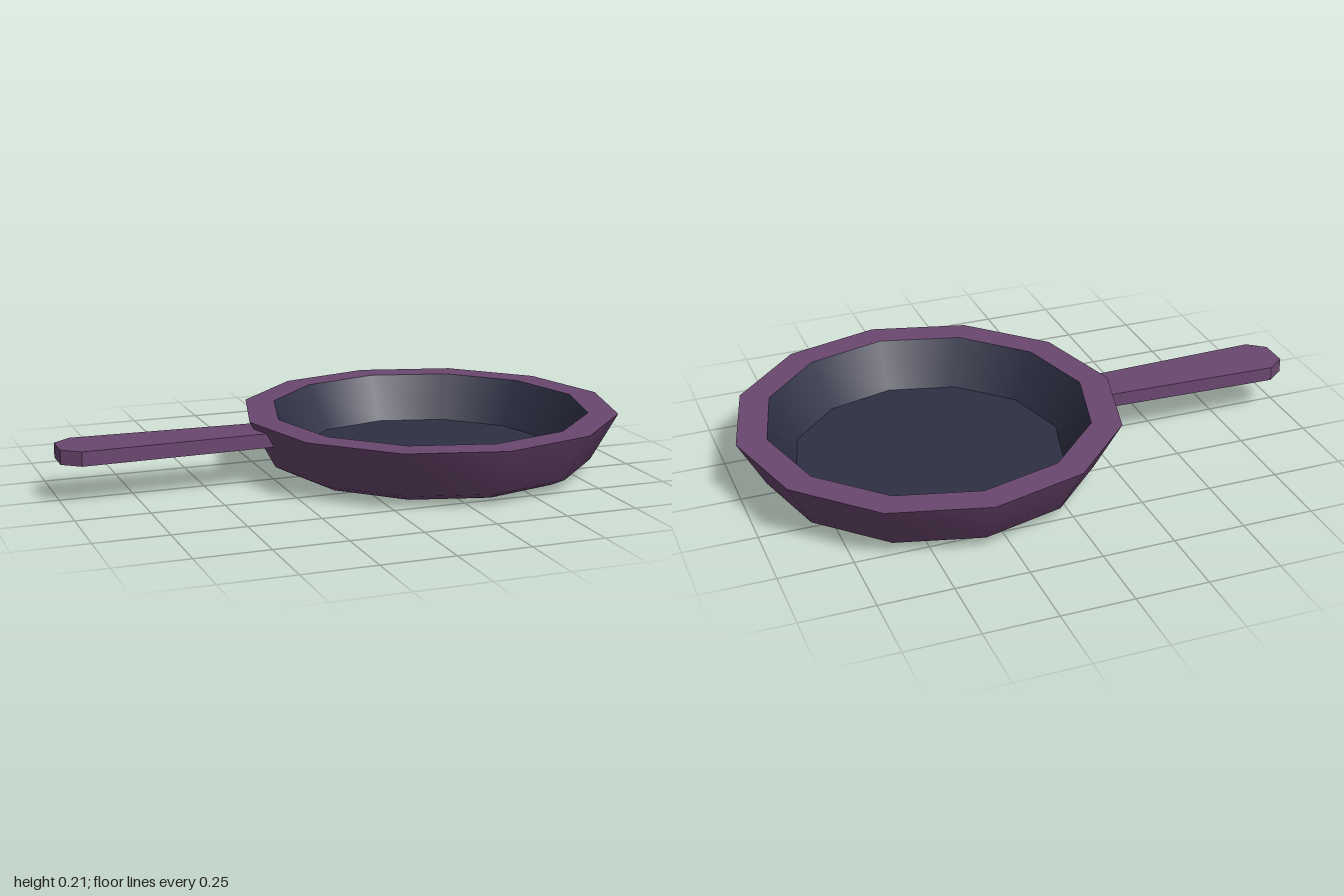
import * as THREE from 'three';

export function createModel() {
  const pan = new THREE.Group();
  pan.name = 'fryingPan';

  const purple = new THREE.MeshStandardMaterial({ color: 0x6b4770 });
  purple.name = 'purple enamel';
  const navy = new THREE.MeshStandardMaterial({ color: 0x2e3044 });
  navy.name = 'dark coating';

  // Twelve-sided bowl, one lathe per smooth surface so the rim and floor edges stay sharp
  const bowl = new THREE.Group();
  bowl.name = 'bowl';
  bowl.position.x = 0.333;
  pan.add(bowl);

  const ring = (name, material, profile) => {
    const points = profile.map(([r, y]) => new THREE.Vector2(r, y));
    const mesh = new THREE.Mesh(new THREE.LatheGeometry(points, 12), material);
    mesh.name = name;
    bowl.add(mesh);
  };
  ring('outerShell', purple, [[0, 0], [0.15, 0.001], [0.38, 0.006], [0.525, 0.017], [0.575, 0.042], [0.667, 0.21]]);
  ring('rim', purple, [[0.667, 0.21], [0.562, 0.21]]);
  ring('innerWall', navy, [[0.562, 0.21], [0.472, 0.05]]);
  ring('cookingFloor', navy, [[0.472, 0.05], [0, 0.05]]);

  // Flat handle, flared towards a chamfered tip and sunk into the bowl wall
  const outline = new THREE.Shape([
    [-1, -0.052], [-0.938, -0.1], [-0.25, -0.078],
    [-0.25, 0.078], [-0.938, 0.1], [-1, 0.052],
  ].map(([x, y]) => new THREE.Vector2(x, y)));
  const handleGeometry = new THREE.ExtrudeGeometry(outline, { depth: 0.05, bevelEnabled: false });
  handleGeometry.rotateX(-Math.PI / 2);
  const handle = new THREE.Mesh(handleGeometry, purple);
  handle.name = 'handle';
  handle.position.y = 0.135;
  pan.add(handle);

  return pan;
}
